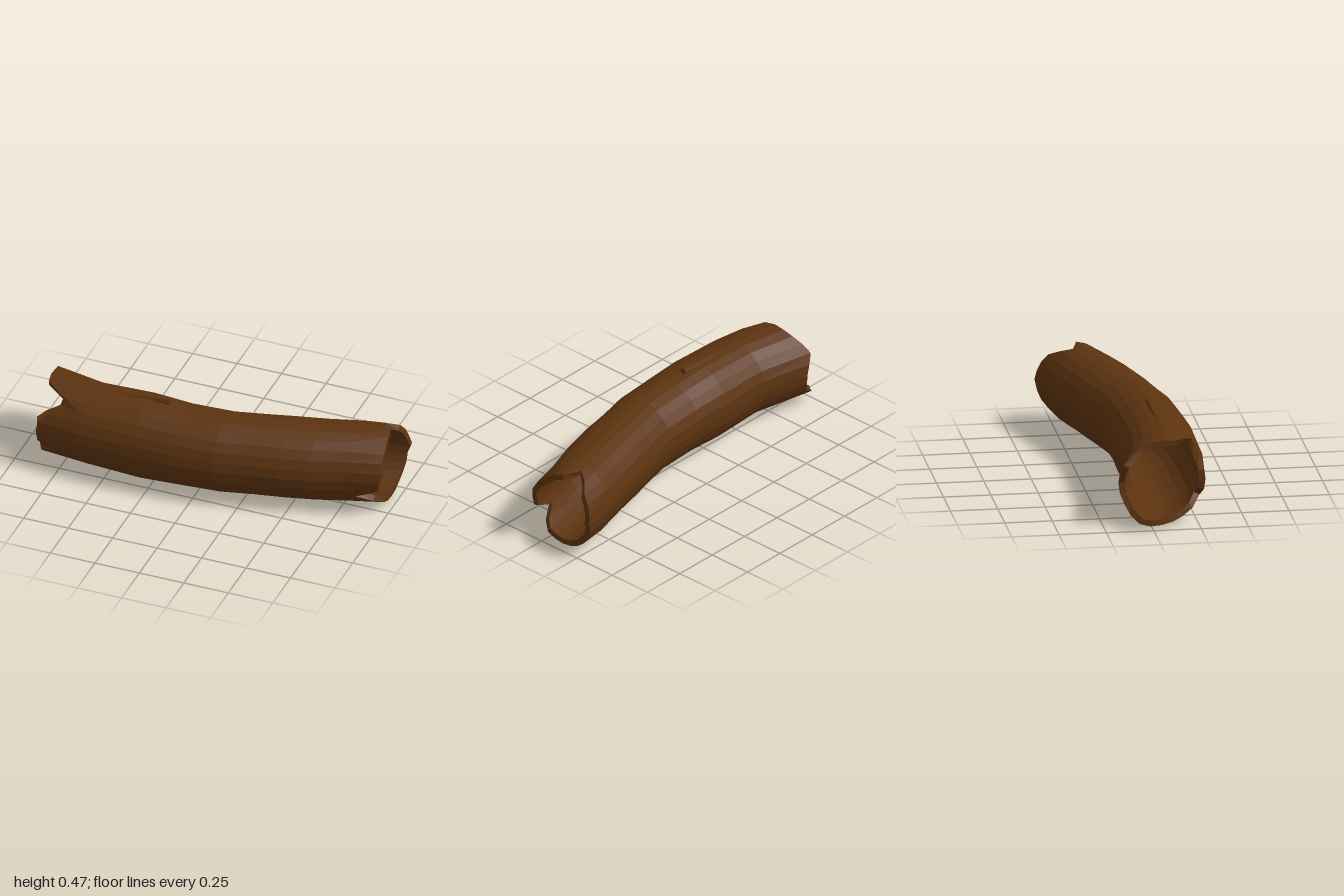
import * as THREE from 'three';

const SIDES = 24;

// Stations along the log: x, centre y, centre z, vertical radius, depth radius
const SPINE = [
  [-1.0, 0.228, 0.04, 0.217, 0.23],
  [-0.87, 0.23, 0.062, 0.22, 0.23],
  [-0.61, 0.231, 0.105, 0.217, 0.215],
  [-0.31, 0.228, 0.105, 0.228, 0.221],
  [-0.1, 0.226, 0.104, 0.216, 0.215],
  [0.13, 0.226, 0.088, 0.214, 0.213],
  [0.3, 0.226, 0.047, 0.214, 0.213],
  [0.46, 0.226, 0.01, 0.214, 0.222],
  [0.62, 0.226, -0.03, 0.214, 0.22],
  [0.8, 0.226, -0.087, 0.214, 0.213],
  [1.0, 0.232, -0.128, 0.207, 0.208],
];

// Broken ends: x of the rim every 15 degrees, from the front over the top
const LEFT_RIM = [
  -0.865, -0.86, -0.80, -0.64, -0.76, -0.86, -0.87, -0.87, -0.88, -0.9, -0.92, -0.89,
  -0.87, -0.875, -0.89, -0.96, -1.0, -0.98, -0.94, -0.91, -0.88, -0.86, -0.79, -0.86,
];
const RIGHT_RIM = [
  0.98, 0.99, 0.98, 0.98, 0.975, 0.97, 0.965, 0.86, 0.9, 0.96, 0.975, 0.985,
  1.0, 0.98, 0.98, 0.975, 0.97, 0.97, 0.97, 0.97, 0.97, 0.93, 0.85, 0.97,
];
// Slight inward dent of the right rim on its upper front
const DENT = { 2: 0.96, 3: 0.92, 4: 0.92, 5: 0.97 };

function spineAt(x) {
  let i = 0;
  while (i < SPINE.length - 2 && x > SPINE[i + 1][0]) i++;
  const a = SPINE[i], b = SPINE[i + 1];
  const t = (x - a[0]) / (b[0] - a[0]);
  return a.map((v, k) => v + (b[k] - v) * t);
}

function wallPoint(x, j, inset, scale = 1) {
  const [, cy, cz, ry, rz] = spineAt(x);
  const a = (j / SIDES) * Math.PI * 2;
  return [x, cy + Math.sin(a) * (ry * scale - inset), cz + Math.cos(a) * (rz * scale - inset)];
}

// Closed wall: outer skin left to right, then inner skin right to left
function hollowLog() {
  const stations = [-2, ...SPINE.slice(2, -1).map((s) => s[0]), 2];
  const rings = [];
  const addSkin = (list, inset) => {
    for (const s of list) {
      const ring = [];
      for (let j = 0; j < SIDES; j++) {
        if (s === -2) ring.push(wallPoint(LEFT_RIM[j], j, inset));
        else if (s === 2) ring.push(wallPoint(RIGHT_RIM[j], j, inset, DENT[j] ?? 1));
        else ring.push(wallPoint(s, j, inset));
      }
      rings.push(ring);
    }
  };
  addSkin(stations, 0);
  addSkin([...stations].reverse(), 0.032);

  const positions = [];
  for (let i = 0; i < rings.length; i++) {
    const p = rings[i], q = rings[(i + 1) % rings.length];
    for (let j = 0; j < SIDES; j++) {
      const k = (j + 1) % SIDES;
      positions.push(...p[j], ...q[j], ...q[k], ...p[j], ...q[k], ...p[k]);
    }
  }
  const geo = new THREE.BufferGeometry();
  geo.setAttribute('position', new THREE.Float32BufferAttribute(positions, 3));
  geo.computeVertexNormals();
  return geo;
}

// Tapered stick running from one point to another
function stick(from, to, r0, r1, material) {
  const a = new THREE.Vector3(...from), b = new THREE.Vector3(...to);
  const mesh = new THREE.Mesh(new THREE.CylinderGeometry(r1, r0, a.distanceTo(b), 6), material);
  mesh.position.copy(a).add(b).multiplyScalar(0.5);
  mesh.quaternion.setFromUnitVectors(new THREE.Vector3(0, 1, 0), b.sub(a).normalize());
  return mesh;
}

export function createModel() {
  const group = new THREE.Group();
  group.name = 'hollowLog';
  const bark = new THREE.MeshStandardMaterial({ color: 0x5c3310, flatShading: true });

  const wall = new THREE.Mesh(hollowLog(), bark);
  wall.name = 'logWall';
  group.add(wall);

  // Small broken twig lying almost flat along the top
  const twig = stick([-0.56, 0.432, 0.098], [-0.19, 0.459, 0.091], 0.016, 0.017, bark);
  twig.name = 'twigStub';
  group.add(twig);

  return group;
}
